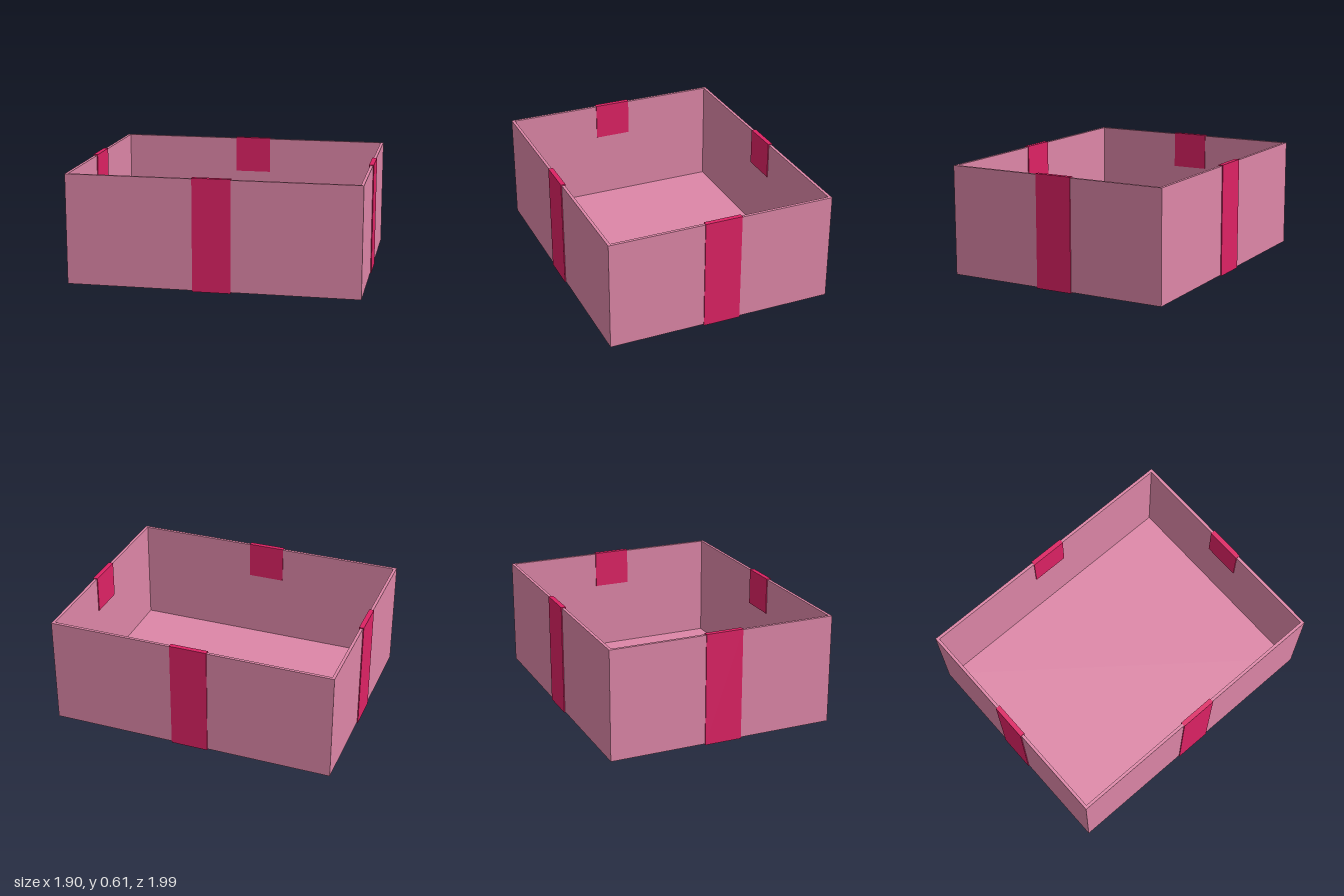
import * as THREE from 'three';

export function createModel() {
  const cardboard = new THREE.MeshStandardMaterial({ color: 0xdd86a7 });
  cardboard.name = 'pink cardboard';
  const satin = new THREE.MeshStandardMaterial({ color: 0xdd2264 });
  satin.name = 'crimson ribbon';

  const halfW = 0.622, halfL = 0.78; // half width and length of the box
  const wall = 0.016, tape = 0.005, top = 0.605, tapeWidth = 0.204, fold = 0.205;
  const height = top - tape * 2;

  const group = new THREE.Group();
  group.name = 'openGiftBox';

  const addBox = (name, w, h, d, x, y, z) => {
    const mesh = new THREE.Mesh(new THREE.BoxGeometry(w, h, d), cardboard);
    mesh.name = name;
    mesh.position.set(x, y, z);
    group.add(mesh);
  };

  // Floor and four thin walls
  addBox('floor', halfW * 2, wall, halfL * 2, 0, tape + wall / 2, 0);
  const wallH = height - wall, wallY = tape + wall + wallH / 2;
  for (const s of [-1, 1]) {
    addBox('longWall', wall, wallH, halfL * 2, s * (halfW - wall / 2), wallY, 0);
    addBox('shortWall', (halfW - wall) * 2, wallH, wall, 0, wallY, s * (halfL - wall / 2));
  }

  // Ribbon: runs under the box, up both sides and folds inside over the rim
  const addRibbon = (name, half, turn) => {
    const out = half + tape, inn = half - wall - tape;
    const side = [
      [out, 0], [out, top], [inn, top], [inn, top - fold],
      [inn + tape, top - fold], [inn + tape, top - tape], [half, top - tape], [half, tape],
    ];
    const outline = [...side, ...side.map(([x, y]) => [-x, y]).reverse()];
    const shape = new THREE.Shape(outline.map(([x, y]) => new THREE.Vector2(x, y)));
    const geometry = new THREE.ExtrudeGeometry(shape, { depth: tapeWidth, bevelEnabled: false });
    geometry.translate(0, 0, -tapeWidth / 2);
    const mesh = new THREE.Mesh(geometry, satin);
    mesh.name = name;
    mesh.rotation.y = turn;
    group.add(mesh);
  };
  addRibbon('crosswiseRibbon', halfW, 0);
  addRibbon('lengthwiseRibbon', halfL, Math.PI / 2);

  // The box stands turned on its base
  group.rotation.y = 0.584;
  const model = new THREE.Group();
  model.name = 'giftBox';
  model.add(group);
  return model;
}
